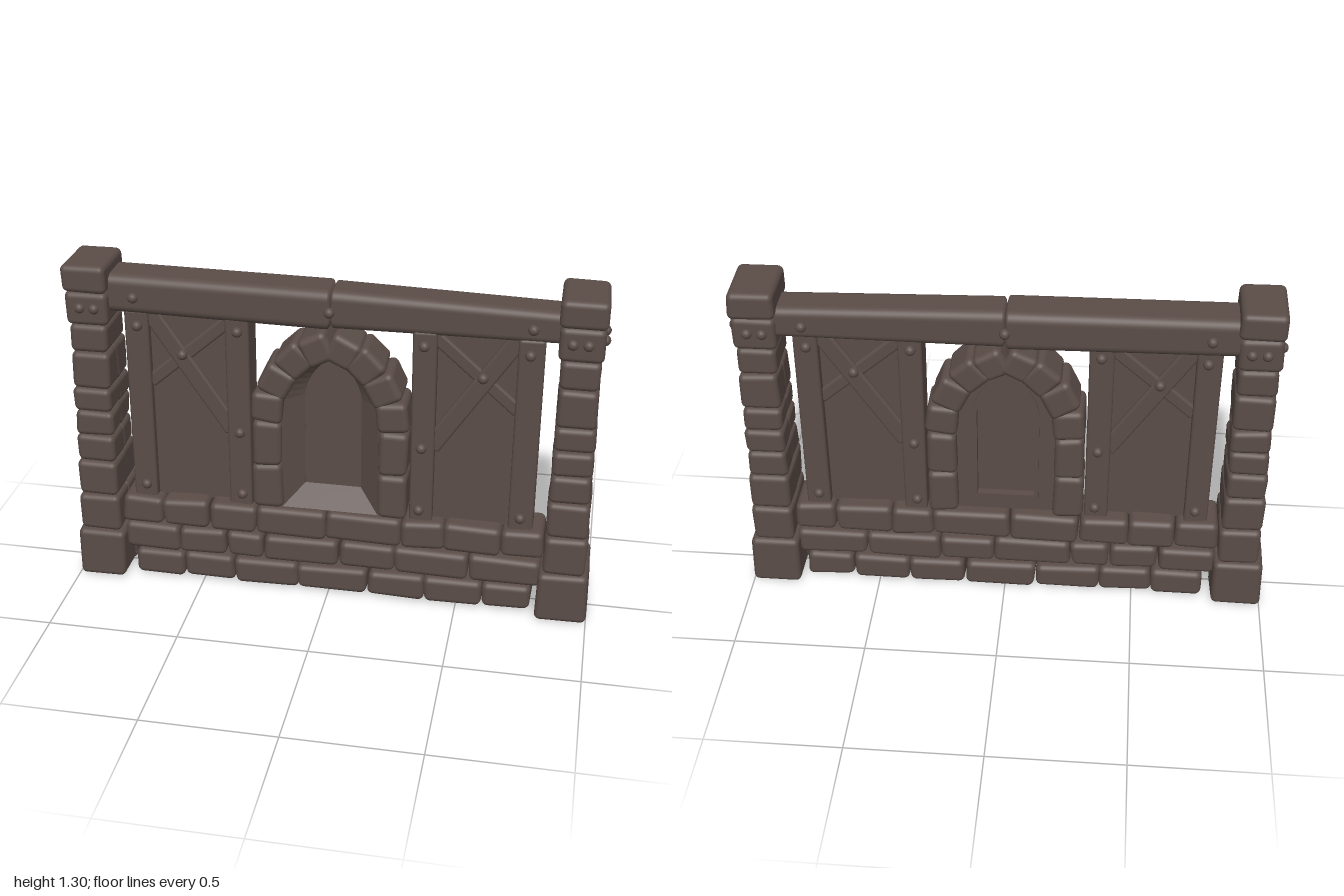
import * as THREE from 'three';
import { RoundedBoxGeometry } from 'three/addons/geometries/RoundedBoxGeometry.js';

const brown = new THREE.MeshStandardMaterial({ color: 0x5b4d48 });
brown.name = 'darkBrown';

let seed = 11;
const rand = () => {
  seed = (seed * 16807) % 2147483647;
  return seed / 2147483647 - 0.5;
};

// Rounded block whose eight corners are nudged for a hand-cut look
function block(name, w, h, d, radius, wobble = 0.01) {
  const g = new RoundedBoxGeometry(w, h, d, 3, radius);
  const corners = Array.from({ length: 8 }, () => [rand() * wobble, rand() * wobble * 0.6, rand() * wobble]);
  const p = g.attributes.position;
  for (let i = 0; i < p.count; i++) {
    const v = [p.getX(i), p.getY(i), p.getZ(i)];
    const t = [v[0] / w + 0.5, v[1] / h + 0.5, v[2] / d + 0.5];
    corners.forEach((c, k) => {
      const weight = (k & 1 ? t[0] : 1 - t[0]) * (k & 2 ? t[1] : 1 - t[1]) * (k & 4 ? t[2] : 1 - t[2]);
      c.forEach((o, a) => { v[a] += o * weight; });
    });
    p.setXYZ(i, ...v);
  }
  const mesh = new THREE.Mesh(g, brown);
  mesh.name = name;
  return mesh;
}

function place(parent, mesh, x, y, z = 0, turn = 0) {
  mesh.position.set(x, y, z);
  mesh.rotation.z = turn;
  parent.add(mesh);
  return mesh;
}

function group(parent, name) {
  const g = new THREE.Group();
  g.name = name;
  parent.add(g);
  return g;
}

const boltGeometry = new THREE.SphereGeometry(0.02, 14, 10);
function bolt(parent, x, y, z) {
  const m = new THREE.Mesh(boltGeometry, brown);
  m.name = 'bolt';
  place(parent, m, x, y, z);
}

// Pointed arch outline, shared by the window splay, pane and back frame
function archPoints(half, bottom, spring, top) {
  const side = new THREE.QuadraticBezierCurve(
    new THREE.Vector2(half, spring),
    new THREE.Vector2(half * 0.86, spring + (top - spring) * 0.62),
    new THREE.Vector2(0, top)).getPoints(8);
  const left = side.slice(0, -1).reverse().map((p) => new THREE.Vector2(-p.x, p.y));
  return [new THREE.Vector2(-half, bottom), new THREE.Vector2(half, bottom), ...side, ...left];
}

function archPlate(name, outer, inner, z, depth) {
  const shape = new THREE.Shape(outer);
  if (inner) shape.holes.push(new THREE.Path(inner));
  const m = new THREE.Mesh(new THREE.ExtrudeGeometry(shape, { depth, bevelEnabled: false }), brown);
  m.name = name;
  m.position.z = z;
  return m;
}

// Sloped band between two outlines lying at different depths
function splay(outer, zOuter, inner, zInner) {
  const pos = [];
  outer.forEach((a, i) => {
    const j = (i + 1) % outer.length;
    const b = outer[j], c = inner[j], d = inner[i];
    pos.push(a.x, a.y, zOuter, b.x, b.y, zOuter, c.x, c.y, zInner);
    pos.push(a.x, a.y, zOuter, c.x, c.y, zInner, d.x, d.y, zInner);
  });
  const g = new THREE.BufferGeometry();
  g.setAttribute('position', new THREE.Float32BufferAttribute(pos, 3));
  g.computeVertexNormals();
  const m = new THREE.Mesh(g, brown);
  m.name = 'windowSplay';
  return m;
}

function buildPillar(root, side) {
  const pillar = group(root, side > 0 ? 'leftPillar' : 'rightPillar');
  // bottom, top, half width, half depth, split into two stones
  const courses = [
    [0, 0.2, 0.095, 0.147, true], [0.2, 0.355, 0.08, 0.136, true],
    [0.355, 0.5, 0.078, 0.128, true], [0.5, 0.61, 0.075, 0.121, true],
    [0.61, 0.71, 0.074, 0.118, true], [0.71, 0.805, 0.074, 0.115, true],
    [0.805, 0.955, 0.073, 0.113, true], [0.955, 1.065, 0.072, 0.106, false],
    [1.065, 1.195, 0.08, 0.108, false], [1.195, 1.3, 0.084, 0.119, false],
  ];
  courses.forEach(([lo, hi, hw, hd, split]) => {
    const h = hi - lo, y = (lo + hi) / 2, x = side * 0.903;
    if (!split) place(pillar, block('pillarStone', hw * 2, h, hd * 2, 0.022, 0.006), x, y);
    else for (const s of [-1, 1]) {
      place(pillar, block('pillarStone', hw * 2, h, hd + 0.014, 0.022, 0.01), x, y, s * (hd - 0.014) / 2);
    }
  });
  for (const s of [-1, 1]) {
    for (const x of [0.87, 0.925]) bolt(pillar, side * x, 1.135, s * 0.106);
    bolt(pillar, side * 0.98, 1.135, s * 0.045);
  }
}

function buildBase(root) {
  const base = group(root, 'stoneBase');
  const courses = [
    [0.002, 0.112, 0.105, [-0.775, -0.575, -0.375, -0.12, 0.155, 0.375, 0.6, 0.79]],
    [0.112, 0.224, 0.1, [-0.82, -0.595, -0.405, -0.257, 0.04, 0.255, 0.545, 0.82]],
    [0.224, 0.345, 0.093, [-0.82, -0.657, -0.473, -0.285, -0.015, 0.28, 0.445, 0.66, 0.82]],
  ];
  courses.forEach(([lo, hi, hd, joints]) => {
    for (let i = 0; i < joints.length - 1; i++) {
      const a = joints[i], b = joints[i + 1];
      place(base, block('baseStone', b - a - 0.002, hi - lo - 0.004, hd * 2 + rand() * 0.016, 0.024, 0.014),
        (a + b) / 2, (lo + hi) / 2);
    }
  });
}

function buildTimberPanel(root, side) {
  const panel = group(root, side > 0 ? 'leftTimberPanel' : 'rightTimberPanel');
  place(panel, block('infillBoard', 0.33, 0.79, 0.05, 0.004, 0), side * 0.535, 0.725);
  place(panel, block('outerStud', 0.093, 0.79, 0.12, 0.012, 0.005), side * 0.729, 0.725);
  place(panel, block('innerStud', 0.09, 0.79, 0.12, 0.012, 0.005), side * 0.348, 0.725);
  // Crossed braces on both faces
  const braces = [[0.685, 1.115, 0.375, 0.645, 0.068, 0.088], [0.695, 0.82, 0.375, 1.1, 0.052, 0.078]];
  braces.forEach(([x1, y1, x2, y2, w, d]) => {
    const dx = side * (x2 - x1), dy = y2 - y1;
    place(panel, block('brace', Math.hypot(dx, dy), w, d, 0.01, 0.004),
      side * (x1 + x2) / 2, (y1 + y2) / 2, 0, Math.atan2(dy, dx));
  });
  const spots = [[0.725, 1.06, 0.061], [0.345, 1.065, 0.061], [0.345, 0.65, 0.061],
    [0.342, 0.385, 0.061], [0.725, 0.39, 0.061], [0.56, 0.95, 0.047]];
  for (const s of [-1, 1]) spots.forEach(([x, y, z]) => bolt(panel, side * x, y, s * z));
}

function buildWindow(root) {
  const win = group(root, 'archedWindow');
  // x, y, length along the arch, thickness, turn
  const stones = [
    [0.24, 0.438, 0.184, 0.114, 1.57], [0.24, 0.62, 0.182, 0.112, 1.57],
    [0.235, 0.772, 0.125, 0.122, 1.66], [0.2, 0.878, 0.125, 0.12, 2.03],
    [0.13, 0.968, 0.122, 0.12, 2.36], [0.047, 1.022, 0.115, 0.115, 2.66],
  ];
  for (const side of [-1, 1]) {
    stones.forEach(([x, y, len, thick, turn]) => {
      place(win, block('archStone', len, thick, 0.17, 0.024, 0.012), side * x, y, 0, side > 0 ? turn : Math.PI - turn);
    });
  }
  const outer = archPoints(0.185, 0.345, 0.8, 1.01);
  const inner = archPoints(0.108, 0.42, 0.8, 0.965);
  const rim = archPoints(0.125, 0.402, 0.8, 0.985);
  win.add(splay(outer, 0.06, inner, -0.012));
  win.add(archPlate('windowPane', inner, null, -0.022, 0.008));
  win.add(archPlate('backWall', outer, inner, -0.042, 0.029));
  win.add(archPlate('backRim', rim, inner, -0.052, 0.012));
}

function buildBeam(root) {
  const beam = group(root, 'topBeam');
  // Two lengths meeting at the middle, the second thinning toward its end
  const lengths = [[-1, 1.257, 1.108, 1.25, 1.096, 0.085], [1, 1.226, 1.108, 1.25, 1.1, 0.077]];
  lengths.forEach(([side, topEnd, lowEnd, topMid, lowMid, hd]) => {
    const m = block('beamLength', 0.84, 1, 1, 0.01, 0);
    m.geometry = new RoundedBoxGeometry(0.84, 0.15, hd * 2, 4, 0.036);
    const p = m.geometry.attributes.position;
    for (let i = 0; i < p.count; i++) {
      const t = 0.5 + side * p.getX(i) / 0.84, k = p.getY(i) / 0.15 + 0.5;
      const lo = lowMid + (lowEnd - lowMid) * t, hi = topMid + (topEnd - topMid) * t;
      // square the ends so the two lengths butt together
      const x = Math.abs(p.getX(i)) > 0.384 ? Math.sign(p.getX(i)) * (0.384 + (Math.abs(p.getX(i)) - 0.384) * 0.35) : p.getX(i);
      p.setXYZ(i, x * 0.42 / 0.3966, lo + (hi - lo) * k, p.getZ(i));
    }
    place(beam, m, side * 0.42, 0, -0.012);
    for (const s of [-1, 1]) bolt(beam, side * 0.73, side < 0 ? 1.176 : 1.162, -0.012 + s * hd);
  });
  for (const s of [-1, 1]) bolt(beam, 0, 1.172, -0.012 + s * 0.082);
}

export function createModel() {
  const root = new THREE.Group();
  root.name = 'wallSection';
  for (const side of [-1, 1]) {
    buildPillar(root, side);
    buildTimberPanel(root, side);
  }
  buildBase(root);
  buildWindow(root);
  buildBeam(root);
  return root;
}
